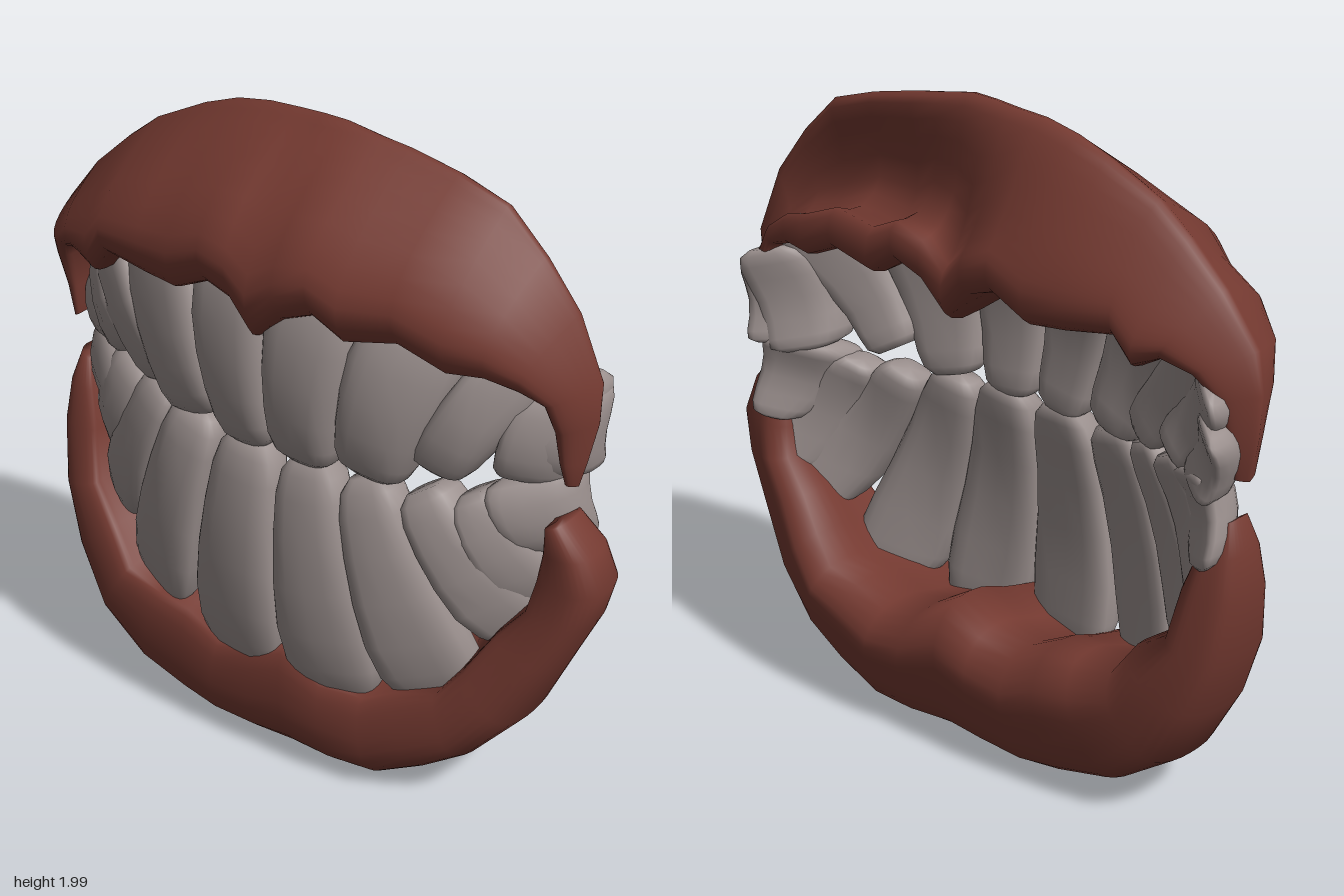
import * as THREE from 'three';

const gumMat = new THREE.MeshStandardMaterial({ color: 0x753a31 });
gumMat.name = 'gum red';
const toothMat = new THREE.MeshStandardMaterial({ color: 0x9a8f8d });
toothMat.name = 'tooth grey';

// Skin a list of closed rings; both ends are pinched shut
function loft(rings) {
  const mean = r => {
    const c = r.reduce((a, p) => a.add(p), new THREE.Vector3()).divideScalar(r.length);
    return r.map(() => c);
  };
  const all = [mean(rings[0]), ...rings, mean(rings[rings.length - 1])];
  const n = rings[0].length, pos = [], idx = [];
  all.forEach(r => r.forEach(p => pos.push(p.x, p.y, p.z)));
  for (let i = 0; i < all.length - 1; i++) {
    for (let j = 0; j < n; j++) {
      const a = i * n + j, b = i * n + (j + 1) % n;
      idx.push(a, b, a + n, b, b + n, a + n);
    }
  }
  const g = new THREE.BufferGeometry();
  g.setAttribute('position', new THREE.Float32BufferAttribute(pos, 3));
  g.setIndex(idx);
  g.computeVertexNormals();
  return g;
}

// Front face of the slightly turned dental arch: z for a given x
const archPoints = [[-0.95, -0.04], [-0.85, 0.05], [-0.7, 0.15], [-0.4, 0.24], [-0.1, 0.265],
  [0.15, 0.245], [0.35, 0.19], [0.55, 0.09], [0.7, -0.03], [0.8, -0.12], [0.95, -0.2]];
function arch(x) {
  let i = 0;
  while (i < archPoints.length - 2 && x > archPoints[i + 1][0]) i++;
  const [x0, z0] = archPoints[i], [x1, z1] = archPoints[i + 1];
  return z0 + (z1 - z0) * THREE.MathUtils.clamp((x - x0) / (x1 - x0), 0, 1);
}

// Tooth from root to biting edge, bent along the arch
const toothProfile = [[0, 0.5], [0.05, 0.78], [0.15, 0.95], [0.3, 1.04], [0.5, 1.04],
  [0.7, 1.02], [0.86, 1], [0.95, 0.9], [1, 0.62]];
function tooth([bx, by, bw, tx, ty, tw, depth]) {
  const axis = new THREE.Vector2(tx - bx, ty - by).normalize();
  const round = v => Math.sign(v) * Math.abs(v) ** 0.65;
  return loft(toothProfile.map(([s, k]) => {
    const w = THREE.MathUtils.lerp(bw, tw, s) * k / 2;
    const ring = [];
    for (let j = 0; j < 20; j++) {
      const a = j / 20 * Math.PI * 2, u = round(Math.cos(a)) * w;
      const x = bx + (tx - bx) * s + axis.y * u;
      const y = by + (ty - by) * s - axis.x * u;
      const mid = arch(x) - depth / 2 - 0.05 * (2 * s - 1) ** 2;
      ring.push(new THREE.Vector3(x, y, mid - round(Math.sin(a)) * depth / 2 * Math.min(k, 1)));
    }
    return ring;
  }));
}

// Gum: each station is outer x,y, inner x,y, front z, back z, hollowness
function gum(stations, profile, flip) {
  return loft(stations.map(([ox, oy, ix, iy, zf, zb, hollow = 0]) => {
    const pts = profile.map(([f, g, hf = f, hg = g]) => {
      const ff = f + (hf - f) * hollow, gg = g + (hg - g) * hollow;
      return new THREE.Vector3(ix + (ox - ix) * ff, iy + (oy - iy) * ff, zb + (zf - zb) * gg);
    });
    const ring = new THREE.CatmullRomCurve3(pts, true).getPoints(36).slice(0, 36);
    return flip ? ring.reverse() : ring;
  }));
}

// Cross-sections: fraction inner to outer, fraction back to front (then the hollow variant)
const lowerProfile = [[0, 0.84], [0.05, 0.95], [0.4, 1], [0.75, 0.96], [0.95, 0.8], [1, 0.55],
  [0.95, 0.3], [0.8, 0.12], [0.4, 0.02], [0.1, 0], [-0.15, 0.12], [-0.2, 0.35], [-0.08, 0.62]];
const upperProfile = [[0, 0.84], [0.04, 0.94], [0.15, 0.99], [0.3, 1], [0.55, 0.88], [0.8, 0.65],
  [0.95, 0.47], [1, 0.4], [0.94, 0.33, 0.94, 0.35], [0.75, 0.22, 0.7, 0.4], [0.5, 0.1, 0.35, 0.42],
  [0.32, 0.03, 0.2, 0.26], [0.18, 0, 0.26, 0.06], [0.04, 0.02], [-0.04, 0.12], [-0.03, 0.4], [0, 0.65]];

const lowerStations = [
  [-0.88, 1.03, -0.84, 1.0, 0.05, -0.04],
  [-0.91, 0.93, -0.81, 0.92, 0.09, -0.08],
  [-0.925, 0.8, -0.78, 0.8, 0.12, -0.11],
  [-0.9, 0.6, -0.75, 0.64, 0.16, -0.14],
  [-0.83, 0.4, -0.65, 0.54, 0.2, -0.17],
  [-0.72, 0.2, -0.58, 0.43, 0.22, -0.19],
  [-0.55, 0.07, -0.45, 0.4, 0.23, -0.21],
  [-0.37, 0.02, -0.34, 0.39, 0.235, -0.23],
  [-0.25, 0.005, -0.22, 0.33, 0.235, -0.24],
  [-0.1, 0.005, -0.09, 0.35, 0.235, -0.25],
  [0.03, 0.005, 0.02, 0.41, 0.23, -0.26],
  [0.18, 0.005, 0.15, 0.34, 0.22, -0.28],
  [0.32, 0.015, 0.28, 0.32, 0.2, -0.29],
  [0.45, 0.08, 0.38, 0.37, 0.17, -0.3],
  [0.58, 0.17, 0.5, 0.4, 0.14, -0.3],
  [0.72, 0.33, 0.57, 0.5, 0.1, -0.29],
  [0.82, 0.55, 0.64, 0.62, 0.05, -0.27],
  [0.89, 0.7, 0.72, 0.72, 0.02, -0.25],
  [0.925, 0.82, 0.74, 0.82, 0.0, -0.23],
  [0.89, 0.93, 0.76, 0.92, 0.0, -0.2],
  [0.81, 1.02, 0.76, 1.0, -0.01, -0.16]];

const upperStations = [
  [-0.9, 1.14, -0.87, 1.15, 0.06, -0.02],
  [-0.925, 1.27, -0.86, 1.25, 0.08, -0.04],
  [-0.93, 1.4, -0.84, 1.38, 0.13, -0.07],
  [-0.91, 1.52, -0.78, 1.45, 0.19, -0.11],
  [-0.8, 1.66, -0.7, 1.48, 0.24, -0.15],
  [-0.68, 1.77, -0.62, 1.44, 0.26, -0.17],
  [-0.58, 1.85, -0.57, 1.52, 0.27, -0.19],
  [-0.42, 1.93, -0.42, 1.5, 0.28, -0.23],
  [-0.31, 1.97, -0.31, 1.49, 0.285, -0.25],
  [-0.2, 1.99, -0.19, 1.55, 0.29, -0.26, 0.1],
  [-0.1, 1.995, -0.1, 1.52, 0.29, -0.27, 0.2],
  [-0.02, 2.0, -0.03, 1.43, 0.29, -0.27, 0.3],
  [0.06, 2.0, 0.06, 1.51, 0.285, -0.27, 0.5],
  [0.16, 1.98, 0.16, 1.55, 0.27, -0.28, 0.7],
  [0.25, 1.965, 0.25, 1.49, 0.25, -0.29, 0.9],
  [0.4, 1.93, 0.4, 1.52, 0.21, -0.29, 1],
  [0.55, 1.88, 0.53, 1.46, 0.17, -0.28, 1],
  [0.67, 1.76, 0.62, 1.46, 0.12, -0.26, 1],
  [0.77, 1.62, 0.7, 1.43, 0.07, -0.25, 0.8],
  [0.84, 1.42, 0.74, 1.38, 0.0, -0.24, 0.4],
  [0.84, 1.3, 0.75, 1.28, -0.05, -0.2],
  [0.82, 1.18, 0.76, 1.18, -0.07, -0.16],
  [0.8, 1.1, 0.77, 1.11, -0.09, -0.14]];

// Teeth: root x, y, width, edge x, y, width, depth
const upperTeeth = [
  [-0.84, 1.32, 0.17, -0.76, 1.1, 0.18, 0.15],
  [-0.83, 1.42, 0.19, -0.62, 1.13, 0.17, 0.15],
  [-0.75, 1.52, 0.22, -0.46, 1.11, 0.17, 0.14],
  [-0.48, 1.58, 0.33, -0.32, 1.06, 0.21, 0.13],
  [-0.175, 1.61, 0.29, -0.115, 1.04, 0.19, 0.13],
  [0.125, 1.61, 0.29, 0.07, 1.04, 0.2, 0.13],
  [0.41, 1.57, 0.3, 0.27, 1.05, 0.2, 0.13],
  [0.68, 1.5, 0.2, 0.44, 1.1, 0.16, 0.14],
  [0.74, 1.4, 0.17, 0.66, 1.08, 0.17, 0.16],
  [0.76, 1.36, 0.12, 0.74, 1.1, 0.12, 0.14]];
const lowerTeeth = [
  [-0.81, 0.88, 0.17, -0.72, 1.13, 0.24, 0.15],
  [-0.79, 0.76, 0.2, -0.6, 1.11, 0.17, 0.15],
  [-0.73, 0.55, 0.22, -0.47, 1.09, 0.16, 0.14],
  [-0.52, 0.34, 0.3, -0.32, 1.06, 0.2, 0.13],
  [-0.16, 0.27, 0.34, -0.115, 1.05, 0.22, 0.13],
  [0.18, 0.27, 0.32, 0.09, 1.05, 0.2, 0.13],
  [0.48, 0.33, 0.29, 0.26, 1.04, 0.17, 0.13],
  [0.7, 0.55, 0.21, 0.41, 1.03, 0.15, 0.14],
  [0.73, 0.68, 0.17, 0.54, 1.04, 0.13, 0.14],
  [0.74, 0.85, 0.14, 0.66, 1.1, 0.22, 0.15]];

export function createModel() {
  const model = new THREE.Group();
  model.name = 'openMouthTeeth';
  const add = (name, geometry, material, parent = model) => {
    const mesh = new THREE.Mesh(geometry, material);
    mesh.name = name;
    parent.add(mesh);
  };
  add('lowerGum', gum(lowerStations, lowerProfile, false), gumMat);
  add('upperGum', gum(upperStations, upperProfile, true), gumMat);
  for (const [name, list] of [['upperTeeth', upperTeeth], ['lowerTeeth', lowerTeeth]]) {
    const row = new THREE.Group();
    row.name = name;
    list.forEach((t, i) => add(name + (i + 1), tooth(t), toothMat, row));
    model.add(row);
  }
  return model;
}
